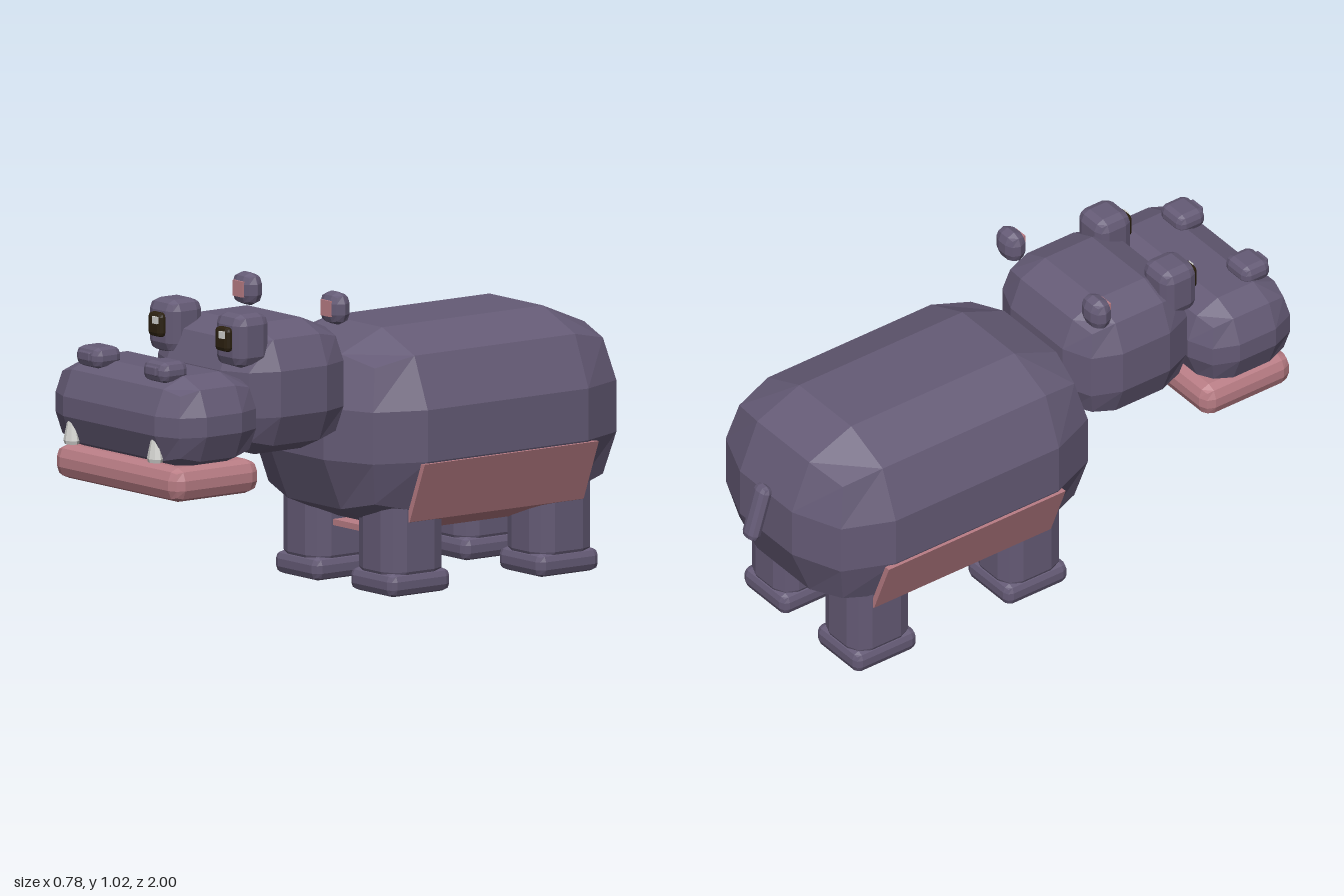
import * as THREE from 'three';
import { RoundedBoxGeometry } from 'three/addons/geometries/RoundedBoxGeometry.js';

const paint = (name, color) => {
  const m = new THREE.MeshStandardMaterial({ color });
  m.name = name;
  return m;
};

export function createModel() {
  const group = new THREE.Group();
  const hide = paint('purple hide', 0x655b76);
  const pink = paint('pink skin', 0xb97d85);
  const dark = paint('dark eye', 0x2b2010);
  const white = paint('ivory', 0xd2d2cf);

  const add = (name, geometry, material, x, y, z) => {
    const g = geometry.index ? geometry.toNonIndexed() : geometry;
    g.computeVertexNormals(); // faceted look
    const mesh = new THREE.Mesh(g, material);
    mesh.name = name;
    mesh.position.set(x, y, z);
    group.add(mesh);
    return mesh;
  };
  // bevelled box given by centre, size and bevel radius
  const block = (name, material, [x, y, z], [w, h, d], r) =>
    add(name, new RoundedBoxGeometry(w, h, d, 1, r), material, x, y, z);

  // torso, head, muzzle and lower lip
  block('body', hide, [0, 0.535, -0.35], [0.76, 0.65, 1.14], 0.24);
  block('head', hide, [0, 0.715, 0.41], [0.56, 0.43, 0.47], 0.14);
  block('muzzle', hide, [0, 0.658, 0.8], [0.72, 0.305, 0.385], 0.12);
  block('lowerLip', pink, [0, 0.466, 0.795], [0.65, 0.112, 0.355], 0.04);

  // belly shell wrapping the underside
  const outer = [[0.39, 0.445], [0.31, 0.245], [0.13, 0.18]];
  const inner = [[0.12, 0.2], [0.296, 0.262], [0.37, 0.445]];
  const half = [...outer.map(([x, y]) => [-x, y]), ...outer.slice().reverse(),
    ...inner.slice().reverse(), ...inner.map(([x, y]) => [-x, y])];
  const belly = new THREE.Shape(half.map(([x, y]) => new THREE.Vector2(x, y)));
  // reorder the inner side so the outline runs right to left
  belly.setFromPoints([
    ...outer.map(([x, y]) => new THREE.Vector2(-x, y)),
    ...outer.slice().reverse().map(([x, y]) => new THREE.Vector2(x, y)),
    ...inner.slice().reverse().map(([x, y]) => new THREE.Vector2(x, y)),
    ...inner.map(([x, y]) => new THREE.Vector2(-x, y)),
  ]);
  add('belly', new THREE.ExtrudeGeometry(belly, { depth: 0.715, bevelEnabled: false }),
    pink, 0, 0, -0.715);

  for (const s of [1, -1]) {
    const side = s > 0 ? 'left' : 'right';

    // legs and feet
    for (const [end, z] of [['Front', -0.05], ['Back', -0.66]]) {
      block(side + end + 'Leg', hide, [s * 0.198, 0.21, z], [0.213, 0.38, 0.235], 0.06);
      block(side + end + 'Foot', hide, [s * 0.197, 0.039, z], [0.228, 0.076, 0.25], 0.025);
    }

    // eye sockets, pupils and glints
    block(side + 'EyeSocket', hide, [s * 0.175, 0.893, 0.582], [0.14, 0.175, 0.136], 0.035);
    block(side + 'Eye', dark, [s * 0.175, 0.9, 0.655], [0.068, 0.08, 0.036], 0.014);
    add(side + 'EyeGlint', new THREE.BoxGeometry(0.023, 0.023, 0.009), white,
      s * 0.175 + 0.013, 0.917, 0.676);

    // nostrils
    block(side + 'Nostril', hide, [s * 0.175, 0.823, 0.898], [0.12, 0.068, 0.108], 0.025);
    block(side + 'NostrilOpening', hide, [s * 0.175, 0.828, 0.945], [0.056, 0.03, 0.032], 0.004);

    // ears
    block(side + 'Ear', hide, [s * 0.23, 0.966, 0.244], [0.107, 0.108, 0.074], 0.036);
    add(side + 'InnerEar', new THREE.BoxGeometry(0.05, 0.052, 0.009), pink,
      s * 0.23, 0.968, 0.28);

    // tusks
    const tusk = add(side + 'Tusk', new THREE.CylinderGeometry(0.014, 0.03, 0.072, 8), white,
      s * 0.219, 0.584, 0.974);
    tusk.scale.z = 0.85;
    add(side + 'TuskBase', new THREE.CylinderGeometry(0.03, 0.026, 0.012, 8), white,
      s * 0.219, 0.542, 0.974).scale.z = 0.85;
  }

  // tail
  block('tail', hide, [0, 0.555, -0.955], [0.066, 0.2, 0.046], 0.022).rotation.x = 0.3;

  return group;
}
